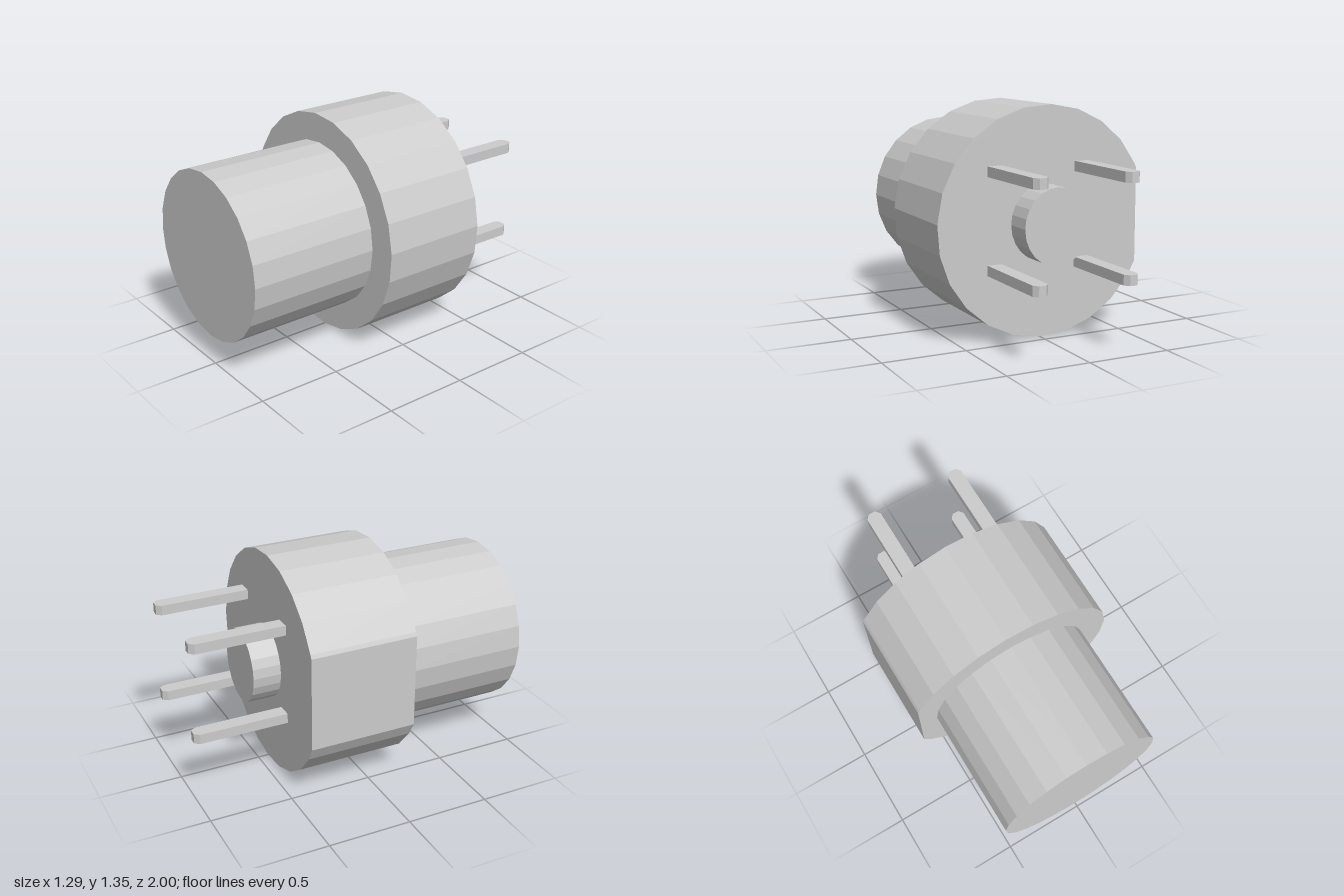
import * as THREE from 'three';

const material = new THREE.MeshStandardMaterial({ color: 0xcccccc, flatShading: true });
const CX = -0.035, CY = 0.675; // main axis, running along z

// Extrude an outline drawn in x/y between two z positions
function prism(name, points, z0, z1) {
  const geometry = new THREE.ExtrudeGeometry(new THREE.Shape(points), { depth: z1 - z0, bevelEnabled: false });
  geometry.translate(0, 0, z0);
  const mesh = new THREE.Mesh(geometry, material);
  mesh.name = name;
  return mesh;
}

function ring(cx, cy, rx, ry, degrees) {
  return degrees.map((d) => {
    const a = THREE.MathUtils.degToRad(d);
    return new THREE.Vector2(cx + rx * Math.cos(a), cy + ry * Math.sin(a));
  });
}

const steps = (start) => Array.from({ length: 24 }, (_, i) => start + i * 15);

export function createModel() {
  const group = new THREE.Group();

  // Front barrel
  group.add(prism('barrel', ring(CX, CY, 0.505, 0.505, steps(0)), 0.215, 1));

  // Wide collar with a flat cut on its -x side
  const collarAngles = steps(3).filter((d) => d < 155 || d > 205);
  collarAngles.push(155.2, 204.8);
  collarAngles.sort((a, b) => a - b);
  group.add(prism('collar', ring(CX, CY, 0.675, 0.675, collarAngles), -0.435, 0.215));

  // Small boss on the back
  group.add(prism('rearBoss', ring(-0.022, CY, 0.208, 0.225, steps(0)), -0.605, -0.435));

  // Four flat contact pins with chamfered tips
  const w = 0.045, c = 0.023;
  const outline = [[-w, 0.435], [w, 0.435], [w, 1 - c * 1.3], [w - c, 1], [c - w, 1], [-w, 1 - c * 1.3]];
  const pinGeometry = new THREE.ExtrudeGeometry(
    new THREE.Shape(outline.map(([x, y]) => new THREE.Vector2(x, y))),
    { depth: 0.06, bevelEnabled: false }
  );
  pinGeometry.rotateX(-Math.PI / 2);
  for (const x of [-0.27, 0.29]) {
    for (const y of [0.395, 0.958]) {
      const pin = new THREE.Mesh(pinGeometry, material);
      pin.name = 'contactPin';
      pin.position.set(x, y, 0);
      group.add(pin);
    }
  }
  return group;
}
